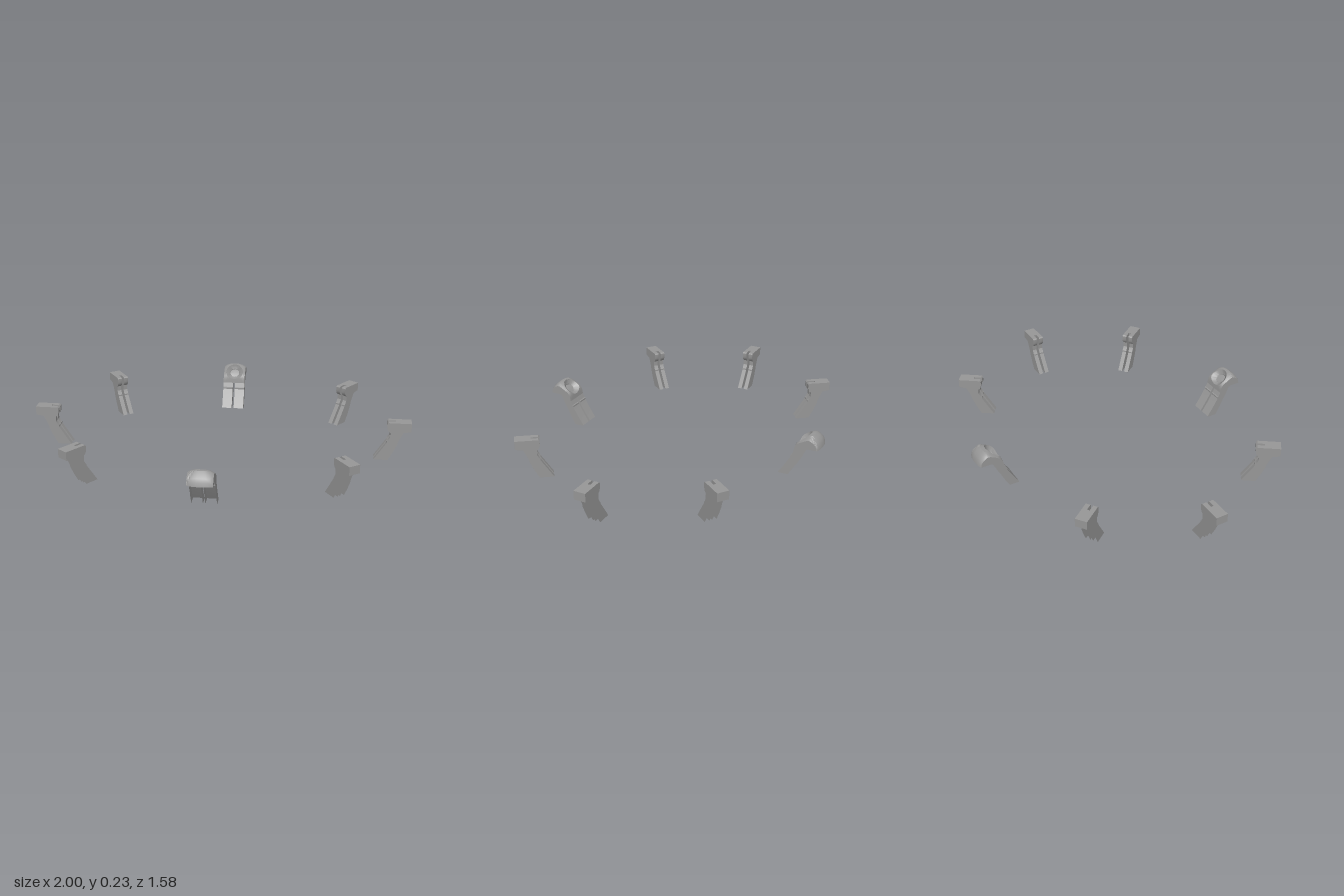
import * as THREE from 'three';
import { toCreasedNormals } from 'three/addons/utils/BufferGeometryUtils.js';

const grey = new THREE.MeshStandardMaterial({ color: 0x969696, side: THREE.DoubleSide });
const v2 = (pts) => pts.map(([x, y]) => new THREE.Vector2(x, y));

function add(group, name, geometry) {
  const mesh = new THREE.Mesh(geometry, grey);
  mesh.name = name;
  group.add(mesh);
  return mesh;
}

function indexed(pos, index) {
  const g = new THREE.BufferGeometry();
  g.setAttribute('position', new THREE.Float32BufferAttribute(pos, 3));
  g.setIndex(index);
  return toCreasedNormals(g, 0.5);
}

// Hollow part: a skin swept from z0 to z1 (x outward, y up) between two flat walls.
// The "open" points only shape the walls, so that edge has no surface.
function shell(group, name, skin, open, z0, z1) {
  const part = new THREE.Group();
  part.name = name;
  const pos = [], index = [];
  skin.forEach(([x, y], i) => {
    pos.push(x, y, z0, x, y, z1);
    if (i) index.push(2 * i - 2, 2 * i, 2 * i - 1, 2 * i - 1, 2 * i, 2 * i + 1);
  });
  add(part, 'skin', indexed(pos, index));
  const wall = new THREE.ShapeGeometry(new THREE.Shape(v2([...skin, ...open])));
  for (const z of [z0, z1]) add(part, 'wall', wall).position.z = z;
  group.add(part);
}

// Mirrored pair of prongs either side of a slot
function prongs(group, skin, open, slot, half) {
  shell(group, 'prong', skin, open, slot, half);
  shell(group, 'prong', skin, open, -half, -slot);
}

// Narrow clip: a block behind two prongs with hooked tips, open underneath
function narrowClip() {
  const clip = new THREE.Group();
  clip.name = 'narrowClip';
  const slot = 0.007;
  const skin = [
    [1, 0.165], [1, 0.21], [0.882, 0.21], [0.876, 0.204], [0.876, 0.18], [0.882, 0.165],
    [0.893, 0.155], [0.893, 0.128], [0.882, 0.108], [0.878, 0.105], [0.878, 0.098], [0.858, 0.067], [0.815, 0],
  ];
  const open = [
    [0.888, 0], [0.912, 0.045], [0.932, 0.09], [0.935, 0.105], [0.946, 0.13], [0.96, 0.158],
  ];
  prongs(clip, skin, open, slot, 0.031);
  shell(clip, 'headBridge', [[1, 0.165], [1, 0.21], [0.92, 0.21], [0.92, 0.158]], [[0.96, 0.158]], -slot, slot);
  return clip;
}

// Wide clip: hollow domed crown with a round socket above two broad prongs
function wideClip() {
  const clip = new THREE.Group();
  clip.name = 'wideClip';
  const half = 0.0625, tc = 0.075, R = 0.05;
  const curve = new THREE.SplineCurve(v2([
    [0.66, 0.135], [0.668, 0.18], [0.692, 0.207], [0.738, 0.229], [0.768, 0.213], [0.785, 0.19], [0.792, 0.165],
  ]));
  const L = curve.getLength();
  // Crown surface, falling away toward both sides
  const surface = (w, t) => {
    const k = THREE.MathUtils.clamp(t / L, 0, 1);
    const p = curve.getPointAt(k);
    const drop = Math.abs(w / half) ** 3;
    p.y -= 0.018 * drop * Math.sin(Math.PI * k);
    p.x -= 0.01 * drop * k * k;
    return p;
  };

  // Crown skin: rings around the socket that spread out to the rectangular rim
  const angles = [[half, L - tc], [-half, L - tc], [-half, -tc], [half, -tc]].map(([w, t]) => Math.atan2(t, w));
  for (let i = 0; i < 48; i++) angles.push(-Math.PI + (i * Math.PI) / 24);
  angles.sort((a, b) => a - b);
  const n = angles.length, pos = [], index = [];
  const put = (w, t, depth) => {
    const p = surface(w, t + tc);
    pos.push(p.x + depth * 0.7, p.y - depth * 0.7, w);
  };
  const rings = [[0, 0.026], [0.026, 0.026], [0.028, 0.022], [0.046, 0.006], [R, 0]];
  for (const [r, d] of rings) for (const a of angles) put(r * Math.cos(a), r * Math.sin(a), d);
  const blends = [0.2, 0.4, 0.6, 0.8, 1];
  for (const k of blends) {
    for (const a of angles) {
      const c = Math.cos(a), s = Math.sin(a);
      const edge = Math.min(half / Math.max(Math.abs(c), 1e-6), (s > 0 ? L - tc : tc) / Math.max(Math.abs(s), 1e-6));
      const r = R + (edge - R) * k;
      put(r * c, r * s, 0);
    }
  }
  for (let j = 0; j < rings.length + blends.length - 1; j++) {
    for (let i = 0; i < n; i++) {
      const a = j * n + i, b = j * n + ((i + 1) % n);
      if (j > 0) index.push(a, b + n, b);
      index.push(a, a + n, b + n);
    }
  }
  add(clip, 'crown', indexed(pos, index));

  // Crown side walls
  const rim = Array.from({ length: 31 }, (_, i) => surface(half, (L * i) / 30));
  const side = new THREE.ShapeGeometry(new THREE.Shape([...rim, ...v2([[0.73, 0.165], [0.715, 0.158], [0.703, 0.128]])]));
  for (const s of [-1, 1]) add(clip, 'crownSide', side).position.z = s * half;

  // Prongs
  const skin = [[0.66, 0.136], [0.65, 0.113], [0.645, 0.11], [0.645, 0.102], [0.622, 0.062], [0.585, 0.004]];
  const open = [[0.587, 0], [0.637, 0], [0.665, 0.05], [0.683, 0.09], [0.69, 0.1], [0.704, 0.13]];
  prongs(clip, skin, open, 0.006, half);
  return clip;
}

export function createModel() {
  const model = new THREE.Group();
  model.name = 'clipRing';
  const place = (clip, angle, x = 0, z = 0) => {
    clip.rotation.y = -angle;
    clip.position.set(x, 0, z);
    model.add(clip);
  };
  // Clips at the two sides, and the wide ones at front and back
  for (const s of [1, -1]) {
    place(narrowClip(), s > 0 ? 0 : Math.PI);
    place(wideClip(), (s * Math.PI) / 2);
  }
  // Diagonal clips, outer faces centred on (0.704, 0.571) in each quarter
  const tilt = THREE.MathUtils.degToRad(54);
  for (const sx of [1, -1]) {
    for (const sz of [1, -1]) {
      const dx = sx * Math.cos(tilt), dz = sz * Math.sin(tilt);
      place(narrowClip(), Math.atan2(dz, dx), sx * 0.704 - dx, sz * 0.571 - dz);
    }
  }
  return model;
}
